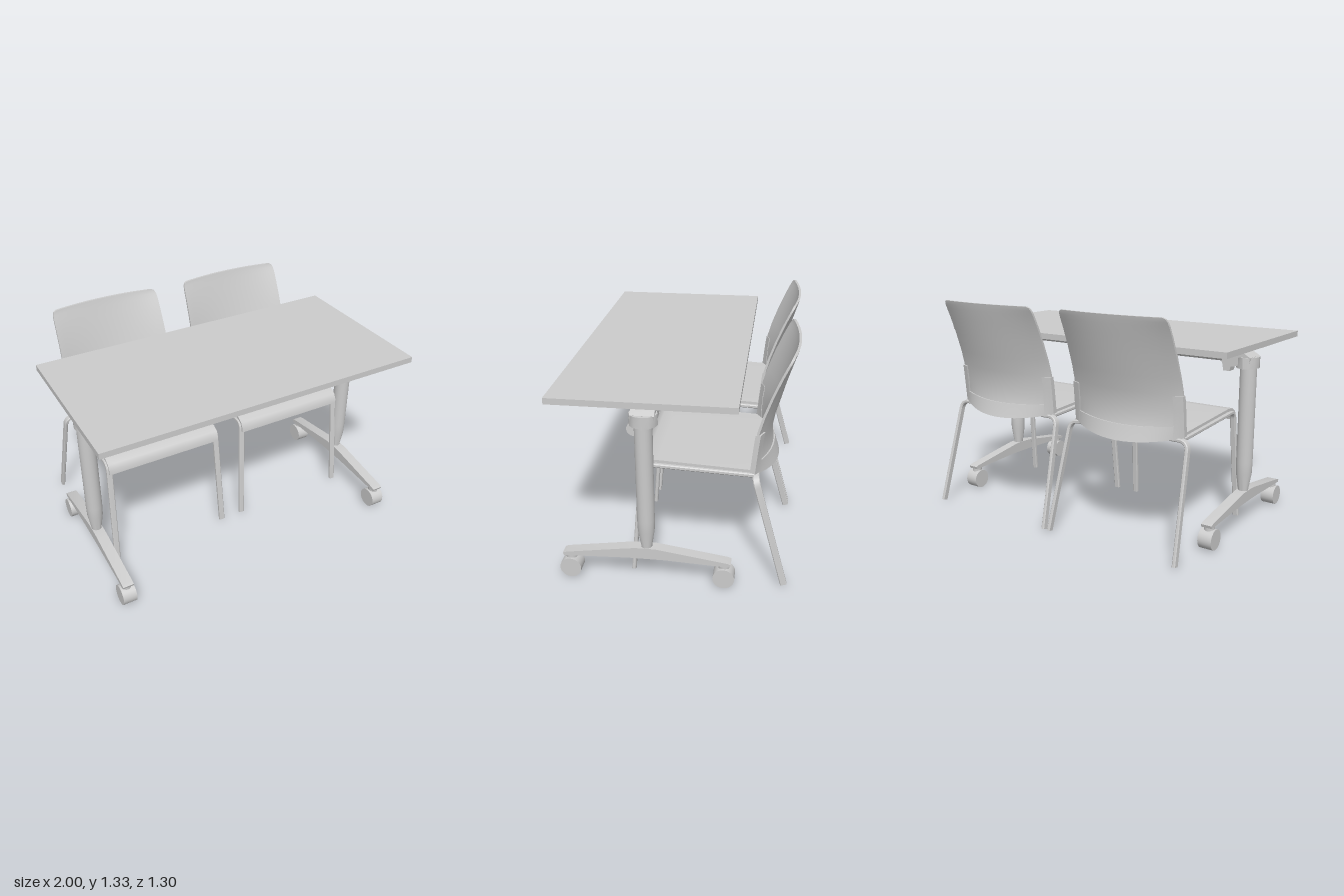
import * as THREE from 'three';
import { toCreasedNormals } from 'three/addons/utils/BufferGeometryUtils.js';

const material = new THREE.MeshStandardMaterial({ color: 0xcccccc });
const V = (x, y, z) => new THREE.Vector3(x, y, z);

function add(parent, name, geometry, x = 0, y = 0, z = 0) {
  const mesh = new THREE.Mesh(toCreasedNormals(geometry, 0.6), material);
  mesh.name = name;
  mesh.position.set(x, y, z);
  parent.add(mesh);
  return mesh;
}

// Skin over a list of equal-length rings; ends are closed by pairing opposite points.
function loft(rings) {
  const n = rings[0].length, index = [], last = (rings.length - 1) * n;
  for (let r = 0; r < rings.length - 1; r++) {
    for (let i = 0; i < n; i++) {
      const j = (i + 1) % n, a = r * n, b = a + n;
      index.push(a + i, a + j, b + j, a + i, b + j, b + i);
    }
  }
  for (let i = 0; i < n / 2 - 1; i++) {
    const p = n - 1 - i, q = p - 1;
    index.push(i, q, i + 1, i, p, q);
    index.push(last + i, last + i + 1, last + q, last + i, last + q, last + p);
  }
  const geometry = new THREE.BufferGeometry().setFromPoints(rings.flat());
  geometry.setIndex(index);
  return geometry;
}

// Flat bar with chamfered edges swept along a path with rounded corners.
function bar(points, radius, sideAxis, width, height) {
  const path = [points[0]];
  for (let i = 1; i < points.length - 1; i++) {
    const p = points[i];
    const toward = q => p.clone().add(q.clone().sub(p).setLength(radius));
    path.push(...new THREE.QuadraticBezierCurve3(toward(points[i - 1]), p, toward(points[i + 1])).getPoints(8));
  }
  path.push(points[points.length - 1]);
  const a = width / 2, b = height / 2, c = Math.min(a, b) * 0.45;
  const section = [[a, -b + c], [a, b - c], [a - c, b], [-a + c, b], [-a, b - c], [-a, -b + c], [-a + c, -b], [a - c, -b]];
  return loft(path.map((p, i) => {
    const t = path[Math.min(i + 1, path.length - 1)].clone().sub(path[Math.max(i - 1, 0)]).normalize();
    const s = sideAxis.clone().addScaledVector(t, -sideAxis.dot(t)).normalize();
    const n = t.clone().cross(s);
    return section.map(([u, v]) => p.clone().addScaledVector(s, u).addScaledVector(n, v));
  }));
}

// Outline in (z, y), extruded along x and centred.
function sideExtrude(outline, width) {
  const shape = new THREE.Shape(outline.map(([z, y]) => new THREE.Vector2(z, y)));
  return new THREE.ExtrudeGeometry(shape, { depth: width, bevelEnabled: false })
    .rotateY(-Math.PI / 2).translate(width / 2, 0, 0);
}

// Backrest rows: height, half width, z at the side edges, z at the middle.
const backRows = [
  [0.67, 0.36, -0.413, -0.535], [0.73, 0.36, -0.418, -0.508], [0.81, 0.36, -0.425, -0.5],
  [0.91, 0.358, -0.437, -0.517], [1.0, 0.356, -0.462, -0.543], [1.12, 0.353, -0.505, -0.575],
  [1.22, 0.35, -0.547, -0.605], [1.28, 0.348, -0.575, -0.622], [1.305, 0.345, -0.588, -0.629],
  [1.322, 0.337, -0.597, -0.633], [1.33, 0.322, -0.602, -0.635],
];

function backPoint(u, y, offset) {
  let i = 0;
  while (i < backRows.length - 2 && y > backRows[i + 1][0]) i++;
  const k = (y - backRows[i][0]) / (backRows[i + 1][0] - backRows[i][0]);
  const [, w, side, mid] = backRows[i].map((v, c) => THREE.MathUtils.lerp(v, backRows[i + 1][c], k));
  const bow = 1 - u * u;
  const drop = 0.04 * bow * THREE.MathUtils.clamp((0.8 - y) / 0.13, 0, 1);
  return V(u * w, y - drop, side + (mid - side) * bow - offset);
}

// Curved slab following the backrest between two depths.
function backPanel(u0, u1, heights, front, rear, steps) {
  return loft(heights.map(y => {
    const us = Array.from({ length: steps + 1 }, (_, i) => u0 + (u1 - u0) * i / steps);
    return [...us.map(u => backPoint(u, y, front)), ...us.reverse().map(u => backPoint(u, y, rear))];
  }));
}

function createChair() {
  const chair = new THREE.Group();
  chair.name = 'chair';

  // Seat with a rolled front edge and a rear edge meeting the curved back
  const rings = [];
  for (let i = 0; i <= 16; i++) {
    const u = i / 8 - 1, rear = backPoint(u, 0.72, 0).z - 0.004;
    const profile = [[rear, 0.693], [0.1, 0.72], [0.16, 0.714], [0.195, 0.692], [0.211, 0.66], [0.214, 0.632],
      [0.2, 0.632], [0.196, 0.658], [0.182, 0.683], [0.15, 0.699], [0.1, 0.703], [rear, 0.677]];
    rings.push(profile.map(([z, y]) => V(u * 0.36, y, z)));
  }
  add(chair, 'seat', loft(rings));

  // Backrest shell with its U-shaped carrier
  add(chair, 'backrest', backPanel(-1, 1, backRows.map(r => r[0]), 0, 0.014, 16));
  add(chair, 'backCarrierBand', backPanel(-1.01, 1.01, [0.668, 0.7, 0.735], 0.008, 0.022, 16));
  for (const s of [-1, 1]) {
    const inner = s * 0.87, outer = s * 1.012;
    add(chair, 'backCarrierUpright',
      backPanel(Math.min(inner, outer), Math.max(inner, outer), [0.668, 0.75, 0.83, 0.9], -0.004, 0.024, 3));
    // Front leg running into the side rail under the seat
    add(chair, 'frontLegAndRail', bar(
      [V(s * 0.373, 0.01, 0.243), V(s * 0.352, 0.69, 0.185), V(s * 0.352, 0.662, -0.43)],
      0.05, V(1, 0, 0), 0.036, 0.023));
  }

  // Rear legs joined by a cross bar
  add(chair, 'rearLegFrame', bar(
    [V(-0.427, 0.012, -0.62), V(-0.393, 0.657, -0.44), V(0.393, 0.657, -0.44), V(0.427, 0.012, -0.62)],
    0.055, V(0, 0, 1), 0.038, 0.021));
  return chair;
}

function createTable() {
  const table = new THREE.Group();
  table.name = 'table';
  add(table, 'tableTop', new THREE.BoxGeometry(2, 0.035, 0.995), 0, 1.1225, 0.1475);
  add(table, 'crossBeam', sideExtrude(
    [[0.08, 1.105], [0.08, 1.04], [0.11, 1.005], [0.19, 1.005], [0.22, 1.04], [0.22, 1.105]], 1.54));

  for (const s of [-1, 1]) {
    const leg = new THREE.Group();
    leg.name = 'tableLeg';
    table.add(leg);
    const x = s * 0.902;

    // Tapered column
    const column = [[0, 0.2], [0.03, 0.2], [0.031, 0.23], [0.047, 0.33], [0.049, 0.4], [0.049, 0.99], [0, 0.99]];
    add(leg, 'column', new THREE.LatheGeometry(column.map(([r, y]) => new THREE.Vector2(r, y)), 24), x, 0, 0.15);

    // Collar and arm joining the column to the beam
    add(leg, 'collar', new THREE.CylinderGeometry(0.07, 0.07, 0.065, 12).scale(0.95, 1, 1.1), s * 0.897, 1.007, 0.15);
    const arm = new THREE.Shape([[0.93, 1.0], [0.94, 1.04], [0.89, 1.068], [0.8, 1.1], [0.76, 1.1], [0.76, 1.0], [0.82, 0.98]]
      .map(([px, py]) => new THREE.Vector2(s * px, py)));
    add(leg, 'arm', new THREE.ExtrudeGeometry(arm, { depth: 0.13, bevelEnabled: false }), 0, 0, 0.085);
    add(leg, 'topBracket', sideExtrude(
      [[0.27, 1.105], [0.262, 1.06], [0.24, 1.025], [0.06, 1.025], [0.045, 1.06], [0.04, 1.105]], 0.03), s * 0.785);
    const lever = new THREE.Shape([[0.74, 1.02], [0.755, 0.945], [0.795, 0.945], [0.81, 1.02]]
      .map(([px, py]) => new THREE.Vector2(s * px, py)));
    add(leg, 'lever', new THREE.ExtrudeGeometry(lever, { depth: 0.06, bevelEnabled: false }), 0, 0, 0.12);

    // Arched foot on two casters
    add(leg, 'foot', sideExtrude([[0.625, 0.14], [0.63, 0.155], [0.61, 0.163], [0.25, 0.218], [0.2, 0.223], [0.1, 0.223],
      [0.05, 0.216], [-0.305, 0.163], [-0.325, 0.155], [-0.32, 0.138], [0.05, 0.155], [0.25, 0.155]], 0.066), x);
    for (const z of [0.587, -0.285]) {
      add(leg, 'casterStem', new THREE.CylinderGeometry(0.031, 0.031, 0.045, 16), x, 0.125, z);
      add(leg, 'casterWheel', new THREE.CylinderGeometry(0.061, 0.061, 0.084, 24).rotateZ(Math.PI / 2), x, 0.063, z);
    }
  }
  return table;
}

export function createModel() {
  const model = new THREE.Group();
  model.name = 'tableWithTwoChairs';
  model.add(createTable());
  for (const x of [-0.446, 0.45]) {
    const chair = createChair();
    chair.position.x = x;
    model.add(chair);
  }
  return model;
}
